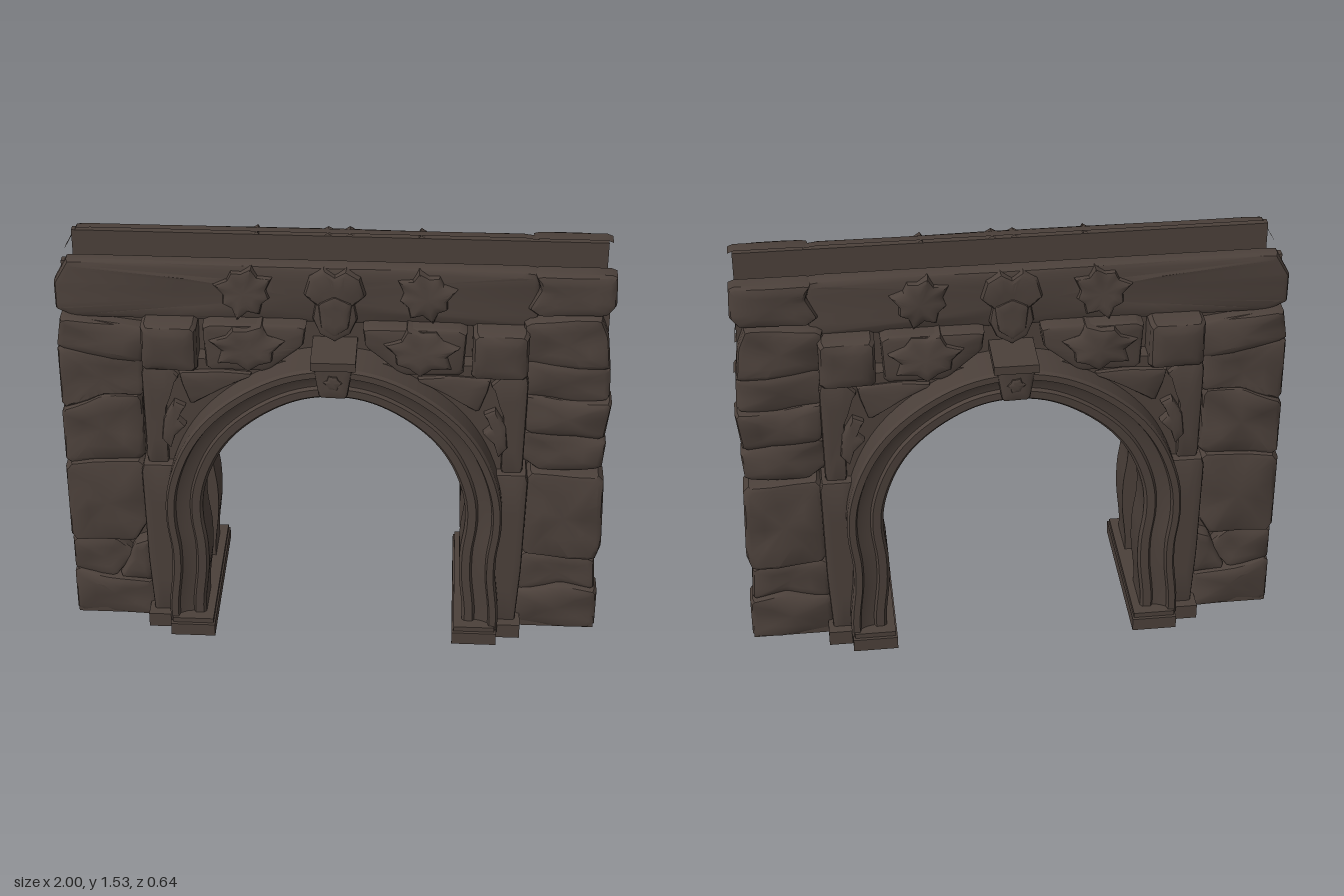
import * as THREE from 'three';
import { toCreasedNormals } from 'three/addons/utils/BufferGeometryUtils.js';

const BACK = 0.1; // each facade starts here; the space between them is hollow

// Half outline of the opening, from the foot up to the crown
const HALF = [[0.485, 0], [0.488, 0.12], [0.472, 0.28], [0.472, 0.4], [0.486, 0.53], [0.478, 0.64], [0.43, 0.78],
  [0.36, 0.885], [0.25, 0.98], [0.125, 1.043], [0, 1.062]];
const mirrorX = (pts) => pts.map(([x, y]) => [-x, y]).reverse();
const archPath = new THREE.CatmullRomCurve3(
  [...HALF, ...mirrorX(HALF.slice(0, -1))].map(([x, y]) => new THREE.Vector3(x, y, 0)));

function meshData(pos, idx, crease) {
  const g = new THREE.BufferGeometry();
  g.setAttribute('position', new THREE.Float32BufferAttribute(pos, 3));
  g.setIndex(idx);
  return toCreasedNormals(g, crease);
}

// Hewn block: an outline drawn forward, rounded inward and gently lumpy
function hewn(pts, z, inset = 0.03, lump = 0.008, steps = [0.07, 0.35, 0.65, 0.93]) {
  const out = [];
  pts.forEach((p, i) => {
    const q = pts[(i + 1) % pts.length];
    steps.forEach((t) => out.push([p[0] + (q[0] - p[0]) * t, p[1] + (q[1] - p[1]) * t]));
  });
  const xs = pts.map((p) => p[0]), ys = pts.map((p) => p[1]);
  const x0 = Math.min(...xs), x1 = Math.max(...xs), y0 = Math.min(...ys), y1 = Math.max(...ys);
  const cx = (x0 + x1) / 2, cy = (y0 + y1) / 2, hw = (x1 - x0) / 2, hh = (y1 - y0) / 2;
  const rings = [[0, BACK], [0, z - inset * 0.9], [inset * 0.3, z - inset * 0.3], [inset, z]];
  const pos = [], idx = [], n = out.length;
  const bump = (x, y) => lump * (Math.sin(x * 23 + y * 17) + Math.sin(y * 31 - x * 11)) * 0.5;
  const add = (sx, sy, zz, lumpy) => out.forEach(([x, y]) => {
    const px = cx + (x - cx) * sx, py = cy + (y - cy) * sy;
    pos.push(px, py, zz + (lumpy ? bump(px, py) : 0));
  });
  rings.forEach(([d, zz], r) => add(1 - d / hw, 1 - d / hh, zz, r > 1));
  add(0.5, 0.5, z + lump * 0.3, true);
  for (let r = 0; r < rings.length; r++) {
    for (let k = 0; k < n; k++) {
      const a = r * n + k, b = r * n + (k + 1) % n;
      idx.push(a, b, a + n, b, b + n, a + n);
    }
  }
  const last = rings.length * n;
  pos.push(cx, cy, z + lump * 0.4 + bump(cx, cy));
  for (let k = 0; k < n; k++) idx.push(last + k, last + (k + 1) % n, last + n);
  return meshData(pos, idx, 0.6);
}

// Flat wall with the arched opening cut out; pts run from the right foot over the top to the left foot
function archedPlate(pts, z) {
  const inner = archPath.getPoints(80).map((p) => new THREE.Vector2(p.x * 1.02, p.y * 1.02));
  const shape = new THREE.Shape([...inner, ...pts.map(([x, y]) => new THREE.Vector2(x, y))]);
  const g = new THREE.ExtrudeGeometry(shape, { depth: z - BACK, bevelEnabled: false });
  return g.translate(0, 0, BACK);
}

// Moulding: closed section of [distance from opening, z] swept along the arch
function moulding(section) {
  const N = 90, K = section.length, pos = [], idx = [];
  for (let i = 0; i <= N; i++) {
    const p = archPath.getPoint(i / N), t = archPath.getTangent(i / N);
    section.forEach(([d, z]) => pos.push(p.x + t.y * d, Math.max(0, p.y - t.x * d), z));
  }
  for (let i = 0; i < N; i++) {
    for (let j = 0; j < K; j++) {
      const a = i * K + j, b = i * K + (j + 1) % K;
      idx.push(a, b, a + K, b, b + K, a + K);
    }
  }
  return meshData(pos, idx, 0.5);
}

// Ragged leaf rosette outline
function rosette(cx, cy, rx, ry, tips, turn) {
  return Array.from({ length: tips * 2 }, (_, i) => {
    const a = turn + (i * Math.PI) / tips, r = i % 2 ? 0.68 : 1 - 0.1 * (i % 3);
    return [cx + rx * r * Math.cos(a), cy + ry * r * Math.sin(a)];
  });
}

const rect = (x0, y0, x1, y1) => [[x0, y0], [x1, y0], [x1, y1], [x0, y1]];

function box(x0, x1, y0, y1, z0, z1) {
  return new THREE.BoxGeometry(x1 - x0, y1 - y0, z1 - z0).translate((x0 + x1) / 2, (y0 + y1) / 2, (z0 + z1) / 2);
}

// Copy reflected to the other facade, with corner order restored
function mirroredZ(geo) {
  const g = geo.index ? geo.toNonIndexed() : geo.clone();
  g.scale(1, 1, -1);
  for (const a of Object.values(g.attributes)) {
    for (let i = 0; i < a.count; i += 3) {
      for (let c = 0; c < a.itemSize; c++) {
        const v = a.getComponent(i + 1, c);
        a.setComponent(i + 1, c, a.getComponent(i + 2, c));
        a.setComponent(i + 2, c, v);
      }
    }
  }
  return g;
}

export function createModel() {
  const model = new THREE.Group();
  model.name = 'stoneArchway';
  const stone = new THREE.MeshStandardMaterial({ color: 0x4b403a });
  stone.name = 'darkBrownStone';
  const put = (name, geo) => {
    const m = new THREE.Mesh(geo, stone);
    m.name = name;
    model.add(m);
  };
  const both = (name, geo) => {
    put(name + 'Front', geo);
    put(name + 'Back', mirroredZ(geo));
  };
  // Same relief on the left and right of both facades
  const four = (name, pts, ...args) => {
    both(name + 'Left', hewn(pts, ...args));
    both(name + 'Right', hewn(mirrorX(pts), ...args));
  };

  // Walls
  both('wall', archedPlate([[-0.97, 0], [-0.97, 1.52], [0.97, 1.52], [0.97, 0]], 0.13));
  both('spandrel', archedPlate([[-0.66, 0], [-0.69, 0.7], [-0.69, 1.17], [0.69, 1.17], [0.69, 0.7], [0.66, 0]], 0.195));

  // Rough side stones, right side
  [[[[-1, 0], [-0.69, 0], [-0.7, 0.15], [-0.8, 0.17], [-1, 0.2]], 0.2],
    [[[-1, 0.19], [-0.84, 0.17], [-0.76, 0.27], [-0.83, 0.35], [-1, 0.35]], 0.185],
    [[[-0.83, 0.17], [-0.7, 0.15], [-0.69, 0.36], [-0.76, 0.33]], 0.19],
    [[[-1, 0.35], [-0.75, 0.36], [-0.7, 0.45], [-0.7, 0.73], [-1, 0.71]], 0.21],
    [[[-1, 0.7], [-0.7, 0.72], [-0.7, 1.01], [-0.85, 1.0], [-1, 0.93]], 0.195],
    [[[-1, 0.93], [-0.85, 0.99], [-0.69, 1.0], [-0.69, 1.17], [-1, 1.2]], 0.185],
    [[[-1, 1.19], [-0.69, 1.13], [-0.67, 1.28], [-0.98, 1.32]], 0.19],
  ].forEach(([pts, z], i) => both('rightSideStone' + (i + 1), hewn(pts, z, 0.022, 0.011)));

  // Rough side stones, left side
  [[[[0.69, 0], [1, 0], [1, 0.18], [0.86, 0.2], [0.69, 0.17]], 0.2],
    [[[0.69, 0.16], [0.86, 0.2], [0.99, 0.18], [0.98, 0.32], [0.7, 0.35]], 0.185],
    [[[0.7, 0.35], [0.98, 0.33], [1, 0.4], [0.99, 0.71], [0.7, 0.73]], 0.212],
    [[[0.67, 0.78], [0.75, 0.72], [0.98, 0.73], [0.99, 0.85], [0.85, 0.89], [0.69, 0.9]], 0.19],
    [[[0.69, 0.89], [0.98, 0.86], [1, 1.03], [0.84, 1.02], [0.68, 1.05]], 0.195],
    [[[0.68, 1.04], [0.84, 1.01], [0.99, 1.03], [0.985, 1.16], [0.68, 1.19]], 0.18],
    [[[0.67, 1.18], [0.985, 1.15], [0.97, 1.29], [0.94, 1.37], [0.67, 1.35]], 0.185],
  ].forEach(([pts, z], i) => both('leftSideStone' + (i + 1), hewn(pts, z, 0.022, 0.011)));

  // Top course
  both('lintelBeam', hewn([[-0.93, 1.3], [0.72, 1.3], [0.72, 1.532], [-0.95, 1.532], [-1, 1.44], [-1, 1.33]], 0.152, 0.022, 0.006,
    [0.03, 0.2, 0.4, 0.6, 0.8, 0.97]));
  both('lintelEndStone', hewn([[0.68, 1.39], [0.72, 1.36], [0.96, 1.37], [0.99, 1.41], [0.985, 1.53], [0.7, 1.53], [0.72, 1.47]],
    0.175, 0.025, 0.006));

  // Second tier: corner blocks and carved panels
  four('cornerBlock', rect(0.49, 1.13, 0.69, 1.32), 0.238, 0.03, 0.005);
  four('carvedPanel', [[0.24, 1.13], [0.46, 1.13], [0.47, 1.32], [0.1, 1.32], [0.11, 1.24]], 0.21, 0.018, 0.004);
  four('panelRosette', rosette(0.31, 1.235, 0.14, 0.11, 7, 0.2), 0.23, 0.022, 0.01, [0, 0.5]);
  four('beamRosette', rosette(0.32, 1.43, 0.115, 0.115, 8, 0.25), 0.175, 0.02, 0.009, [0, 0.5]);

  // Centre shield and its scrolls
  both('shield', hewn([[0, 1.24], [0.055, 1.27], [0.08, 1.33], [0.07, 1.39], [0.11, 1.43], [0.09, 1.5], [0.04, 1.53], [0, 1.505],
    [-0.04, 1.53], [-0.09, 1.5], [-0.11, 1.43], [-0.07, 1.39], [-0.08, 1.33], [-0.055, 1.27]], 0.175, 0.02, 0.006, [0, 0.5]));
  both('shieldBoss', hewn([[0, 1.265], [0.05, 1.3], [0.06, 1.4], [0, 1.43], [-0.06, 1.4], [-0.05, 1.3]], 0.185, 0.015, 0.004));

  // Arch mouldings: inner fascia, hollow and raised outer rim
  both('archMoulding', moulding([[0, BACK], [0, 0.255], [0.01, 0.266], [0.04, 0.268], [0.048, 0.256], [0.075, 0.262], [0.098, 0.275],
    [0.104, 0.295], [0.128, 0.295], [0.136, 0.283], [0.136, BACK]]));

  // Keystone
  both('keystone', hewn([[-0.05, 1.08], [0.05, 1.08], [0.075, 1.235], [-0.075, 1.235]], 0.302, 0.015, 0.003));
  both('keystoneCap', box(-0.08, 0.08, 1.205, 1.238, BACK, 0.315));
  both('keystoneBoss', hewn(rosette(0, 1.15, 0.035, 0.04, 6, 0), 0.31, 0.01, 0.003, [0, 0.5]));

  // Pilasters, upper strips and spandrel carvings
  four('pilaster', [[0.58, 0.03], [0.69, 0.03], [0.705, 0.3], [0.712, 0.73], [0.58, 0.73]], 0.235, 0.012, 0);
  four('upperPilaster', [[0.61, 0.72], [0.69, 0.72], [0.695, 1.14], [0.6, 1.14], [0.56, 1.1], [0.61, 1.03]], 0.215, 0.012, 0.003);
  four('bracketLeaf', [[0.6, 0.8], [0.63, 0.84], [0.62, 0.93], [0.58, 1.0], [0.54, 0.98], [0.57, 0.93], [0.54, 0.9], [0.58, 0.86]],
    0.23, 0.012, 0.005, [0, 0.5]);
  four('spandrelLeaf', [[0.4, 1.06], [0.52, 0.98], [0.55, 1.07], [0.56, 1.12], [0.42, 1.13], [0.29, 1.12]], 0.212, 0.012, 0.005);

  // Feet and the floor slabs that join the two facades
  for (const s of [1, -1]) {
    const side = s > 0 ? 'left' : 'right';
    const slab = (name, a, b, h, z) => put(side + name, box(Math.min(s * a, s * b), Math.max(s * a, s * b), 0, h, -z, z));
    slab('Floor', 0.6, 0.995, 0.05, 0.19);
    slab('PilasterFoot', 0.6, 0.71, 0.06, 0.27);
    slab('PlinthBase', 0.452, 0.62, 0.052, 0.318);
    slab('PlinthTop', 0.458, 0.613, 0.072, 0.306);
  }
  return model;
}
